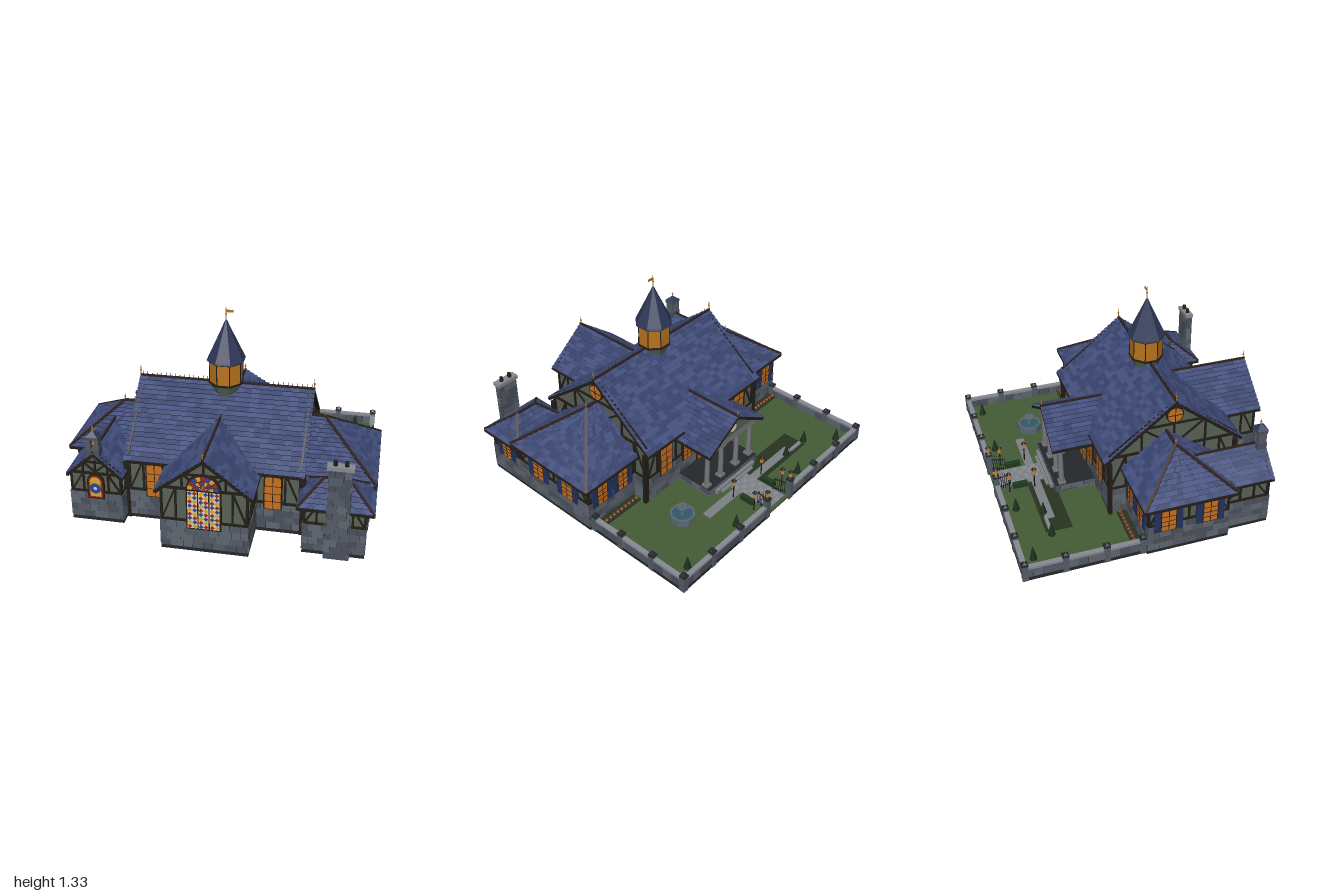
import * as THREE from 'three';
import { mergeGeometries } from 'three/addons/utils/BufferGeometryUtils.js';

const COLORS = {
  roofTilesA: 0x3c4874, roofTilesB: 0x434f7d, roofTilesC: 0x36416a, stoneA: 0x545b66, stoneB: 0x4a505b, stoneC: 0x5f6670, plinth: 0x25272a,
  plaster: 0x586156, timber: 0x221d16, ridgeCap: 0x2f211c, windowGlass: 0xc8701f, windowFrame: 0x2a1d12, shutter: 0x22325f, lawn: 0x445c35,
  darkLawn: 0x27331f, hedge: 0x1f3a20, shrub: 0x18301c, paving: 0x7d8085, coping: 0x868a92, porchColumn: 0x74777a, iron: 0x1b1c20, brass: 0xa8762c,
  lampGlass: 0xd98a2c, towerGlass: 0xb9741f, spireRoof: 0x2c3656, paneRed: 0xa32620, paneGold: 0xd9a52c, paneBlue: 0x2c4696, paneCream: 0xd8cfae,
  fountainStone: 0x5b6972, water: 0x2f5a6c, flower: 0x7a3a24,
};
const FRONT = 0, LEFT = Math.PI / 2, BACK = Math.PI, RIGHT = -Math.PI / 2;
const V = (x, y, z) => new THREE.Vector3(x, y, z);
const points = list => list.map(p => new THREE.Vector2(...p));
const face = (x, z, turn) => new THREE.Matrix4().makeRotationY(turn).setPosition(x, 0, z);

export function createModel() {
  const parts = {};
  let seed = 7;
  const rnd = () => (seed = (seed * 16807) % 2147483647) / 2147483647;
  const abc = () => 'ABC'[Math.floor(rnd() * 3)];
  const put = (name, geo, m, flat) => {
    const g = geo.index ? geo.toNonIndexed() : geo;
    g.deleteAttribute('uv');
    if (flat) g.computeVertexNormals();
    if (m) g.applyMatrix4(m);
    (parts[name] ??= []).push(g);
  };
  const box = (name, x0, x1, y0, y1, z0, z1, m) =>
    put(name, new THREE.BoxGeometry(x1 - x0, y1 - y0, z1 - z0).translate((x0 + x1) / 2, (y0 + y1) / 2, (z0 + z1) / 2), m);
  const cyl = (name, r0, r1, y0, y1, x, z, n = 8, turn = 0) =>
    put(name, new THREE.CylinderGeometry(r1, r0, y1 - y0, n).rotateY(turn).translate(x, (y0 + y1) / 2, z), null, n <= 8);
  const beam = (name, a, b, t, drop = 0) => put(name, new THREE.BoxGeometry(t, t, a.distanceTo(b)),
    new THREE.Matrix4().lookAt(a, b, V(0, 1, 0)).setPosition(a.clone().add(b).multiplyScalar(0.5).add(V(0, -drop, 0))));
  const finial = (x, y, z, h) => {
    cyl('brass', 0.004, 0.002, y, y + h, x, z, 6);
    put('brass', new THREE.SphereGeometry(0.007, 6, 5).translate(x, y + h * 0.55, z));
  };
  // One roof slope, laid in overlapping courses of tiles
  const slope = (a, b, c, d) => {
    const n = b.clone().sub(a).cross(d.clone().sub(a)).normalize();
    if (n.y < 0) { [a, b, c, d] = [b, a, d, c]; n.negate(); }
    const rows = Math.max(4, Math.round(a.clone().add(b).distanceTo(c.clone().add(d)) / 0.066)), cols = Math.max(3, Math.round(a.distanceTo(b) / 0.05));
    const at = (u, t, lift) => a.clone().lerp(d, t).lerp(b.clone().lerp(c, t), u).addScaledVector(n, lift);
    const quad = (p, q, r, s) => [p, q, r, p, r, s].flatMap(v => v.toArray()), pos = { A: [], B: [], C: [] };
    for (let i = 0; i < rows; i++) for (let j = 0; j < cols; j++) {
      const [u0, u1, t0, t1] = [j / cols, (j + 1) / cols, i / rows, (i + 1) / rows], p = at(u0, t0, 0.008), q = at(u1, t0, 0.008);
      pos[abc()].push(...quad(p, q, at(u1, t1, 0), at(u0, t1, 0)), ...quad(at(u0, t0, -0.004), at(u1, t0, -0.004), q, p));
    }
    for (const k in pos) if (pos[k].length)
      put('roofTiles' + k, new THREE.BufferGeometry().setAttribute('position', new THREE.Float32BufferAttribute(pos[k], 3)), null, true);
    beam('timber', a, b, 0.012, 0.01);
  };
  // Stone base with staggered blocks on all four sides
  const stone = (x0, x1, z0, z1, y0 = 0.025, y1 = 0.21) => {
    box('plinth', x0, x1, y0, y1, z0, z1);
    const cx = (x0 + x1) / 2, cz = (z0 + z1) / 2, rows = Math.round((y1 - y0) / 0.046), h = (y1 - y0) / rows;
    for (const [x, z, turn, w] of [[cx, z1, FRONT, x1 - x0], [cx, z0, BACK, x1 - x0], [x1, cz, LEFT, z1 - z0], [x0, cz, RIGHT, z1 - z0]])
      for (let r = 0; r < rows; r++) for (let u = -w / 2, k = 0, e; u < w / 2 - 0.002; k++, u = e) {
        e = Math.min(w / 2, u + (k === 0 && r % 2 ? 0.035 : 0.055 + 0.035 * rnd()));
        box('stone' + abc(), u + 0.001, e - 0.001, y0 + r * h + 0.001, y0 + (r + 1) * h - 0.001, -0.002, 0.004, face(x, z, turn));
      }
  };
  // Half-timbering and windows, drawn in the plane of a wall
  const bar = (m, name, u0, v0, u1, v1, t = 0.013, w = 0.004) => put(name, new THREE.BoxGeometry(Math.hypot(u1 - u0, v1 - v0), t, 0.012)
    .rotateZ(Math.atan2(v1 - v0, u1 - u0)).translate((u0 + u1) / 2, (v0 + v1) / 2, w), m);
  const timberWall = (m, w, y1, bays) => {
    for (const y of [0.215, y1]) bar(m, 'timber', -w / 2, y, w / 2, y, 0.016);
    for (let i = 0; i <= bays; i++) {
      const s = w / bays, u = -w / 2 + s * i;
      bar(m, 'timber', u, 0.215, u, y1);
      if (i === 0 || i === bays - 1) bar(m, 'timber', i ? u : u + s, y1, i ? u + s : u, 0.215, 0.011);
    }
  };
  const timberGable = (m, half, y0, y1) => {
    const ym = (y0 + y1) / 2;
    bar(m, 'timber', 0, y0, 0, y1);
    bar(m, 'timber', -half / 2, ym, half / 2, ym);
    for (const s of [-half, half]) {
      bar(m, 'timber', s, y0, 0, y1, 0.018);
      bar(m, 'timber', s / 2, y0, s / 2, ym);
      bar(m, 'timber', 0, y0, s / 2, ym, 0.011);
    }
  };
  const pane = (m, name, u, y, w, h, arched, depth) => {
    const s = new THREE.Shape(), r = w / 2, top = arched ? y + h - r : y + h;
    s.moveTo(u - r, y).lineTo(u + r, y).lineTo(u + r, top);
    if (arched) s.absarc(u, top, r, 0, Math.PI, false); else s.lineTo(u - r, top);
    put(name, new THREE.ExtrudeGeometry(s, { depth, bevelEnabled: false, curveSegments: 10 }), m);
  };
  const win = (m, u, y, w, h, arched = false, shutters = false) => {
    pane(m, 'windowFrame', u, y - 0.007, w + 0.018, h + 0.016, arched, 0.018);
    pane(m, 'windowGlass', u, y, w, h, arched, 0.021);
    bar(m, 'windowFrame', u, y, u, y + h, 0.004, 0.017);
    for (const v of [0.22, 0.44, 0.66]) bar(m, 'windowFrame', u - w / 2, y + h * v, u + w / 2, y + h * v, 0.003, 0.017);
    if (shutters) for (const c of [u - w / 2 - 0.027, u + w / 2 + 0.027]) box('shutter', c - 0.02, c + 0.02, y - 0.006, y + h + 0.004, 0, 0.02, m);
  };
  // Gable roof along local z (slopes, bargeboards, ridge cap), and the walls below it
  const gableRoof = (m, half, eaveY, ridgeY, [e0, r0, z1]) => {
    const P = (x, y, z) => V(x, y, z).applyMatrix4(m);
    for (const s of [-half, half]) {
      slope(P(s, eaveY, e0), P(s, eaveY, z1), P(0, ridgeY, z1), P(0, ridgeY, r0));
      for (const z of e0 === r0 ? [e0 + 0.01, z1 - 0.01] : [z1 - 0.01]) beam('timber', P(s, eaveY, z), P(0, ridgeY, z), 0.018, 0.014);
    }
    beam('ridgeCap', P(0, ridgeY + 0.004, r0), P(0, ridgeY + 0.004, z1), 0.012);
  };
  const gabled = (m, half, wallZ0, wallZ1, eaveHalf, eaveY, ridgeY, roof) => {
    const peak = ridgeY - 0.012, top = peak - ((ridgeY - eaveY) / eaveHalf) * half;
    const s = new THREE.Shape(points([[-half, 0.2], [half, 0.2], [half, top], [0, peak], [-half, top]]));
    put('plaster', new THREE.ExtrudeGeometry(s, { depth: wallZ1 - wallZ0, bevelEnabled: false }).translate(0, 0, wallZ0), m);
    gableRoof(m, eaveHalf, eaveY, ridgeY, roof);
  };
  // Main hall, ridge running left to right
  stone(-0.55, 0.55, -0.255, 0.61);
  gabled(face(0, 0.18, LEFT), 0.425, -0.54, 0.54, 0.465, 0.44, 0.81, [-0.57, -0.57, 0.57]);
  for (const s of [-1, 1]) {
    const m = face(s * 0.54, 0.18, s * LEFT), wall = s > 0 ? face(0, 0.605, FRONT) : face(0, -0.245, BACK);
    timberGable(m, 0.43, 0.47, 0.8);
    timberWall(m, 0.85, 0.46, 8);
    for (const [name, r, d] of [['windowFrame', 0.058, 0.02], ['windowGlass', 0.05, 0.026]])
      put(name, new THREE.CylinderGeometry(r, r, d, 20).rotateX(LEFT).translate(0, 0.705, 0.006), m);
    for (const [u, v] of [[0.05, 0], [0, 0.05]]) bar(m, 'windowFrame', -u, 0.705 - v, u, 0.705 + v, 0.005, 0.015);
    finial(s * 0.565, 0.81, 0.18, 0.07);
    for (const z of [0.605, -0.25]) box('timber', s * 0.56 - 0.016, s * 0.56 + 0.016, 0, 0.43, z - 0.012, z + 0.012);
    timberWall(wall, 1.08, 0.43, 12);
    for (const u of [-0.375, 0.375]) win(wall, u, 0.18, 0.1, 0.25, true);
  }
  for (let i = 0; i <= 36; i++) cyl('iron', 0.003, 0.001, 0.81, 0.842, -0.55 + (i * 1.1) / 36, 0.18, 4);
  // Front wing with the great stained window
  stone(-0.27, 0.27, 0.5, 0.895);
  gabled(face(0, 0, 0), 0.26, 0.4, 0.885, 0.296, 0.422, 0.655, [0.55, 0.32, 0.915]);
  const nave = face(0, 0.885, FRONT), glass = ['paneRed', 'paneGold', 'paneBlue'];
  timberWall(nave, 0.52, 0.44, 6);
  timberGable(nave, 0.265, 0.44, 0.64);
  for (const s of [-1, 1]) timberWall(face(s * 0.26, 0.745, s * LEFT), 0.28, 0.42, 3);
  pane(nave, 'windowFrame', 0, 0.165, 0.215, 0.385, true, 0.018);
  for (const c of [-0.068, 0, 0.068]) {
    box('paneCream', c - 0.03, c + 0.03, 0.175, 0.435, 0.01, 0.021, nave);
    for (let r = 0; r < 9; r++) for (const k of [0, 1])
      put(glass[(r + k + (c ? 0 : 2)) % 3], new THREE.BoxGeometry(0.02, 0.02, 0.006).rotateZ(Math.PI / 4).translate(c - 0.015 + k * 0.03, 0.19 + r * 0.029, 0.021), nave);
  }
  for (const ring of [0, 1, 2]) for (let i = 0; i < 9; i++) put(glass[(i + ring) % 3],
    new THREE.RingGeometry(ring * 0.033, ring * 0.033 + 0.03, 3, 1, (i * Math.PI) / 9 + 0.015, Math.PI / 9 - 0.03).translate(0, 0.447, 0.021), nave);
  finial(0, 0.655, 0.905, 0.06);
  // Hipped side wings; s is the side, the hip falls toward the outer end
  for (const [s, z0, z1, eaveY, ridgeY, ridgeX] of [[1, -0.17, 0.54, 0.36, 0.63, 0.64], [-1, -0.17, 0.43, 0.37, 0.59, 0.7]]) {
    const zm = (z0 + z1) / 2, a = V(s, eaveY, z0), b = V(s, eaveY, z1), c = V(s * ridgeX, ridgeY, zm), inner = V(s * 0.5, ridgeY, zm);
    slope(a, b, c, c);
    for (const p of [a, b]) slope(V(s * 0.5, eaveY, p.z), p, c, inner);
    for (const p of [a, b, inner]) beam('ridgeCap', p, c, 0.018);
    finial(c.x, ridgeY, zm, 0.05);
    stone(s * 0.73 - 0.23, s * 0.73 + 0.23, z0 + 0.03, z1 - 0.03);
    box('plaster', s * 0.73 - 0.22, s * 0.73 + 0.22, 0.2, eaveY + 0.02, z0 + 0.04, z1 - 0.04);
    const side = face(s * 0.95, zm, s * LEFT), back = face(s * 0.755, z0 + 0.04, BACK);
    timberWall(side, z1 - z0 - 0.08, eaveY, 6);
    for (const m of [back, face(s * 0.755, z1 - 0.04, FRONT)]) timberWall(m, 0.39, eaveY, 4);
    for (const k of [-1, 1]) {
      win(side, k * 0.137, 0.17, 0.09, 0.165, false, true);
      win(back, k * 0.09, 0.17, 0.075, 0.16, false, true);
    }
  }
  // Gabled chapel with a bellcote
  stone(-0.91, -0.57, 0.35, 0.695);
  gabled(face(-0.74, 0, 0), 0.16, 0.35, 0.685, 0.18, 0.345, 0.51, [0.36, 0.22, 0.716]);
  const chapel = face(-0.74, 0.685, FRONT);
  timberWall(chapel, 0.32, 0.35, 4);
  timberGable(chapel, 0.16, 0.36, 0.5);
  [['windowFrame', 0.11, 0.18], ['paneRed', 0.09, 0.16], ['paneGold', 0.07, 0.14]].forEach(([n, w, h], i) => pane(chapel, n, 0, 0.17 + i * 0.01, w, h, true, 0.018 + i * 0.002));
  [['paneBlue', 0.038], ['paneCream', 0.012]].forEach(([n, r], i) => put(n, new THREE.CircleGeometry(r, 12).translate(0, 0.25, 0.024 + i * 0.001), chapel));
  for (const s of [-1, 1]) {
    timberWall(face(-0.74 + s * 0.16, 0.54, s * LEFT), 0.28, 0.35, 3);
    box('stoneA', -0.754 + s * 0.027, -0.726 + s * 0.027, 0.52, 0.615, 0.652, 0.708);
  }
  for (const [y0, y1] of [[0.46, 0.53], [0.6, 0.62]]) box('stoneB', -0.782, -0.698, y0, y1, 0.647, 0.713);
  cyl('brass', 0.012, 0.006, 0.555, 0.59, -0.74, 0.68);
  cyl('spireRoof', 0.055, 0, 0.62, 0.655, -0.74, 0.68, 4, Math.PI / 4);
  finial(-0.74, 0.65, 0.68, 0.035);
  // Hipped annex and chimney
  stone(0.58, 0.96, 0.45, 0.785);
  box('plaster', 0.59, 0.95, 0.2, 0.35, 0.45, 0.775);
  const hip = [V(0.545, 0.335, 0.475), V(1, 0.335, 0.475), V(1, 0.335, 0.812), V(0.545, 0.335, 0.812)], h0 = V(0.69, 0.46, 0.645), h1 = V(0.84, 0.46, 0.645);
  [[0, 1, h1, h0], [1, 2, h1, h1], [2, 3, h0, h1], [3, 0, h0, h0]].forEach(([a, b, c, d]) => slope(hip[a], hip[b], c, d));
  [...hip, h0].forEach((p, i) => beam('ridgeCap', p, i % 3 || i > 3 ? h1 : h0, 0.016));
  for (const [x, z, t, w, n] of [[0.77, 0.775, FRONT, 0.36, 5], [0.59, 0.69, RIGHT, 0.17, 2], [0.95, 0.645, LEFT, 0.26, 3]]) timberWall(face(x, z, t), w, 0.34, n);
  win(face(0.95, 0.637, LEFT), 0, 0.17, 0.075, 0.12, false, true);
  stone(0.716, 0.866, 0.775, 0.822, 0, 0.23);
  stone(0.724, 0.858, 0.777, 0.82, 0.23, 0.62);
  box('coping', 0.71, 0.87, 0.62, 0.645, 0.77, 0.826);
  for (const x of [0.757, 0.823]) cyl('timber', 0.014, 0.012, 0.645, 0.675, x, 0.797);
  // Octagonal lantern tower
  const T = 0.185, turn = Math.PI / 8, lathe = (name, p, x, z) => put(name, new THREE.LatheGeometry(points(p), 8, turn).translate(x, 0, z), null, true);
  for (const [n, r0, r1, y0, y1] of [['plaster', 0.075, 0.11, 0.73, 0.83], ['towerGlass', 0.108, 0.108, 0.83, 0.98], ['timber', 0.115, 0.115, 0.82, 0.832],
    ['timber', 0.12, 0.12, 0.97, 0.982]]) cyl(n, r0, r1, y0, y1, 0, T, 8, turn);
  for (let a = turn; a < 6.5; a += Math.PI / 4) cyl('timber', 0.0035, 0.0035, 0.83, 0.975, Math.sin(a) * 0.108, T + Math.cos(a) * 0.108, 5);
  lathe('spireRoof', [[0.127, 0.978], [0.122, 0.99], [0.098, 1.04], [0.07, 1.1], [0.037, 1.17], [0.006, 1.24]], 0, T);
  finial(0, 1.23, T, 0.095);
  box('brass', 0, 0.045, 1.292, 1.308, T - 0.002, T + 0.002);
  // Columned porch, steps and door
  const porch = face(0, -0.247, BACK);
  stone(-0.25, 0.25, -0.53, -0.25, 0.01, 0.08);
  for (const [w, y, z] of [[0.2, 0.06, -0.555], [0.16, 0.045, -0.575]]) box('paving', -w, w, 0.02, y, z, -0.5);
  gableRoof(face(0, 0, BACK), 0.28, 0.395, 0.565, [0.2, 0.1, 0.548]);
  box('porchColumn', -0.25, 0.25, 0.35, 0.395, -0.505, -0.455);
  for (const s of [-1, 1]) {
    box('porchColumn', s * 0.23 - 0.02, s * 0.23 + 0.02, 0.35, 0.395, -0.5, -0.25);
    for (const x of [s * 0.08, s * 0.22]) {
      cyl('porchColumn', 0.019, 0.015, 0.08, 0.345, x, -0.48, 12);
      for (const y of [0.08, 0.335]) box('porchColumn', x - 0.024, x + 0.024, y, y + 0.016, -0.504, -0.456);
    }
    win(porch, s * 0.17, 0.17, 0.07, 0.15);
  }
  put('plaster', new THREE.ExtrudeGeometry(new THREE.Shape(points([[-0.25, 0.39], [0.25, 0.39], [0, 0.55]])), { depth: 0.03, bevelEnabled: false }), face(0, -0.475, BACK));
  put('paneCream', new THREE.CylinderGeometry(0.03, 0.03, 0.012, 12).rotateX(LEFT).translate(0, 0.455, -0.507));
  win(porch, 0, 0.085, 0.12, 0.24);
  for (const [n, r, y0, y1] of [['iron', 0.002, 0.32, 0.5], ['lampGlass', 0.014, 0.285, 0.32]]) cyl(n, r, r, y0, y1, 0, -0.335, 6);
  finial(0, 0.565, -0.54, 0.05);
  // Plinths: a solid slab under the hall, hollow rims under the wings
  box('plinth', -0.55, 0.55, 0, 0.026, -0.255, 0.61);
  for (const [x0, x1, z0, z1] of [[-0.27, 0.27, 0.6, 0.895], [0.54, 0.96, -0.14, 0.51], [0.58, 0.96, 0.48, 0.785], [-0.96, -0.54, -0.14, 0.4], [-0.91, -0.57, 0.37, 0.695]]) {
    for (const z of [z0, z1 - 0.03]) box('plinth', x0, x1, 0, 0.026, z, z + 0.03);
    for (const x of [x0, x1 - 0.03]) box('plinth', x, x + 0.03, 0, 0.026, z0, z1);
    box('timber', x0 + 0.03, x1 - 0.03, 0.016, 0.03, z0 + 0.03, z1 - 0.03);
  }
  // Yard: lawn, paths, walls, posts, lamps, open gate, planting
  const L = 0.03;
  box('lawn', -0.94, 0.94, 0.012, L, -0.91, -0.13);
  box('darkLawn', -0.61, -0.1, 0.02, L + 0.003, -0.69, -0.515);
  for (let i = 0; i < 40; i++) {
    const k = i % 4, r = (i - k) / 4;
    box((k + r) % 2 ? 'coping' : 'paving', -0.088 + k * 0.044, -0.045 + k * 0.044, 0.02, L + 0.006, -0.89 + r * 0.033, -0.858 + r * 0.033);
  }
  box('paving', -0.49, 0.4, 0.02, L + 0.005, -0.66, -0.6);
  box('coping', -0.59, -0.48, 0.02, L + 0.02, -0.67, -0.65);
  const yardWall = (x0, x1, z0, z1) => {
    box('plinth', x0, x1, 0, 0.026, z0, z1);
    stone(x0 + 0.003, x1 - 0.003, z0 + 0.003, z1 - 0.003, 0.025, 0.085);
    box('coping', x0, x1, 0.085, 0.1, z0, z1);
  };
  const post = (x, z, h) => {
    box('stoneA', x - 0.019, x + 0.019, 0, h - 0.015, z - 0.019, z + 0.019);
    box('plinth', x - 0.021, x + 0.021, h - 0.02, h - 0.01, z - 0.021, z + 0.021);
    cyl('plinth', 0.02, 0, h - 0.01, h + 0.008, x, z, 4, Math.PI / 4);
  };
  const lamp = (x, y, z) => {
    cyl('lampGlass', 0.011, 0.015, y, y + 0.035, x, z, 6);
    cyl('iron', 0.019, 0.002, y + 0.035, y + 0.055, x, z, 6);
  };
  for (const s of [-1, 1]) {
    yardWall(s * 0.93 - 0.016, s * 0.93 + 0.016, -0.91, -0.15);
    yardWall(s * 0.53 - 0.41, s * 0.53 + 0.41, -0.915, -0.883);
    for (const [x, z] of [[0.4, -0.9], [0.67, -0.9], [0.93, -0.9], [0.93, -0.16], [0.93, -0.39], [0.93, -0.65]]) post(s * x, z, 0.135);
    post(s * 0.125, -0.9, 0.175);
    lamp(s * 0.125, 0.18, -0.9);
    for (const z of [-0.82, -0.65]) { cyl('iron', 0.005, 0.004, L, 0.14, s * 0.15, z, 6); lamp(s * 0.15, 0.14, z); }
    for (let i = 0; i < 7; i++) cyl('iron', 0.003, 0.001, L, 0.14 + i * 0.004, s * (0.085 + i * 0.003), -0.8 - i * 0.013, 4);
    for (const y of [0.05, 0.125]) beam('iron', V(s * 0.085, y, -0.8), V(s * 0.105, y, -0.885), 0.005);
    box('hedge', s * 0.115 - 0.016, s * 0.115 + 0.016, L, 0.065, -0.79, -0.69);
    box('darkLawn', s * 0.74 - 0.17, s * 0.74 + 0.17, 0.02, L + 0.01, -0.21, -0.145);
    for (let i = 0; i < 10; i++) put('flower', new THREE.IcosahedronGeometry(0.014, 0).translate(s * (0.59 + i * 0.034), L + 0.02, -0.19));
  }
  for (const [x, z] of [[-0.805, -0.82], [-0.335, -0.82], [0.335, -0.82], [0.805, -0.82], [-0.635, -0.66], [-0.425, -0.66]]) cyl('shrub', 0.025, 0.003, L, 0.12, x, z);
  // Tiered fountain
  lathe('fountainStone', [[0.085, 0.02], [0.085, 0.08], [0.07, 0.08], [0.068, 0.06], [0.014, 0.06], [0.01, 0.12], [0.038, 0.13], [0.036, 0.136], [0.008, 0.134], [0, 0.172]], 0.515, -0.525);
  cyl('water', 0.07, 0.07, 0.055, 0.07, 0.515, -0.525, 8, turn);

  const model = new THREE.Group();
  for (const name in parts) {
    const mesh = new THREE.Mesh(mergeGeometries(parts[name]), new THREE.MeshStandardMaterial({ color: COLORS[name], side: THREE.DoubleSide }));
    mesh.name = name;
    model.add(mesh);
  }
  return model;
}
